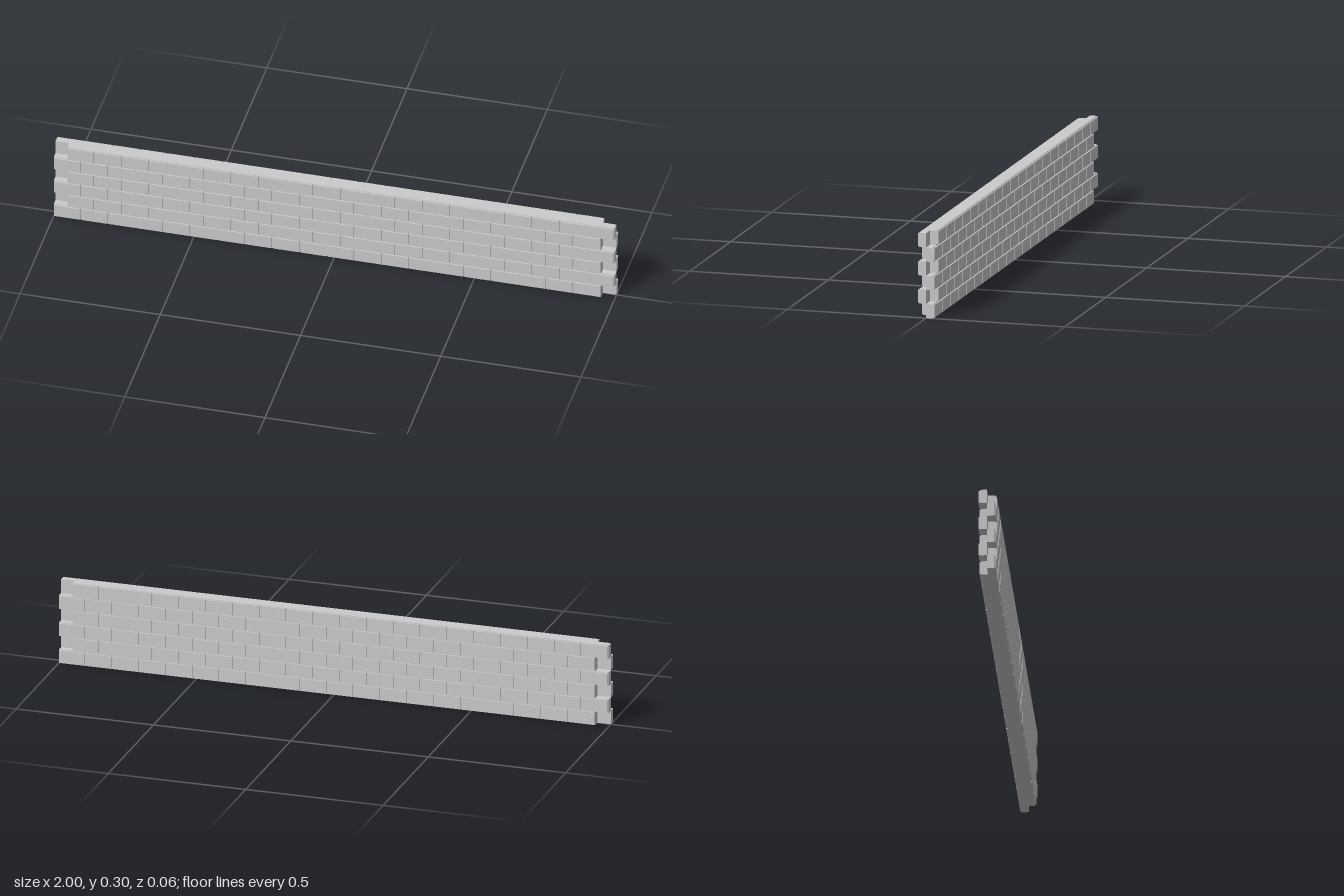
import * as THREE from 'three';
import { mergeGeometries } from 'three/addons/utils/BufferGeometryUtils.js';

const ROWS = 6, BRICKS = 20;
const ROW_H = 0.05;                    // course height
const PITCH = 2 / (BRICKS + 0.5);      // brick length including its joint
const GAP = 0.005;                     // joint width
const CORE = 0.025, FACE = 0.03;       // depth of mortar bed and of brick faces

// Box given by its minimum corner and size
function box(x, y, z, w, h, d) {
  return new THREE.BoxGeometry(w, h, d).translate(x + w / 2, y + h / 2, z + d / 2);
}

export function createModel() {
  const material = new THREE.MeshStandardMaterial({ color: 0xcccccc, flatShading: true });
  const mortar = [], bricks = [];

  // One leaf of the wall: courses shifted by half a brick in turn
  for (let row = 0; row < ROWS; row++) {
    const x0 = -1 + (row % 2) * PITCH / 2;
    const y0 = row * ROW_H;
    mortar.push(box(x0, y0, 0, BRICKS * PITCH, ROW_H, CORE));
    for (let i = 0; i < BRICKS; i++) {
      bricks.push(box(x0 + i * PITCH + GAP / 2, y0 + GAP / 2, CORE - 0.005,
        PITCH - GAP, ROW_H - GAP, FACE - CORE + 0.005));
    }
  }
  const mortarGeometry = mergeGeometries(mortar);
  const brickGeometry = mergeGeometries(bricks);

  // The back leaf is the front leaf turned half round, so the ends interlock
  const wall = new THREE.Group();
  wall.name = 'brickWall';
  for (const side of ['front', 'back']) {
    const leaf = new THREE.Group();
    leaf.name = side + 'Leaf';
    const bed = new THREE.Mesh(mortarGeometry, material);
    bed.name = side + 'MortarCourses';
    const faces = new THREE.Mesh(brickGeometry, material);
    faces.name = side + 'Bricks';
    leaf.add(bed, faces);
    if (side === 'back') leaf.rotation.y = Math.PI;
    wall.add(leaf);
  }
  return wall;
}
